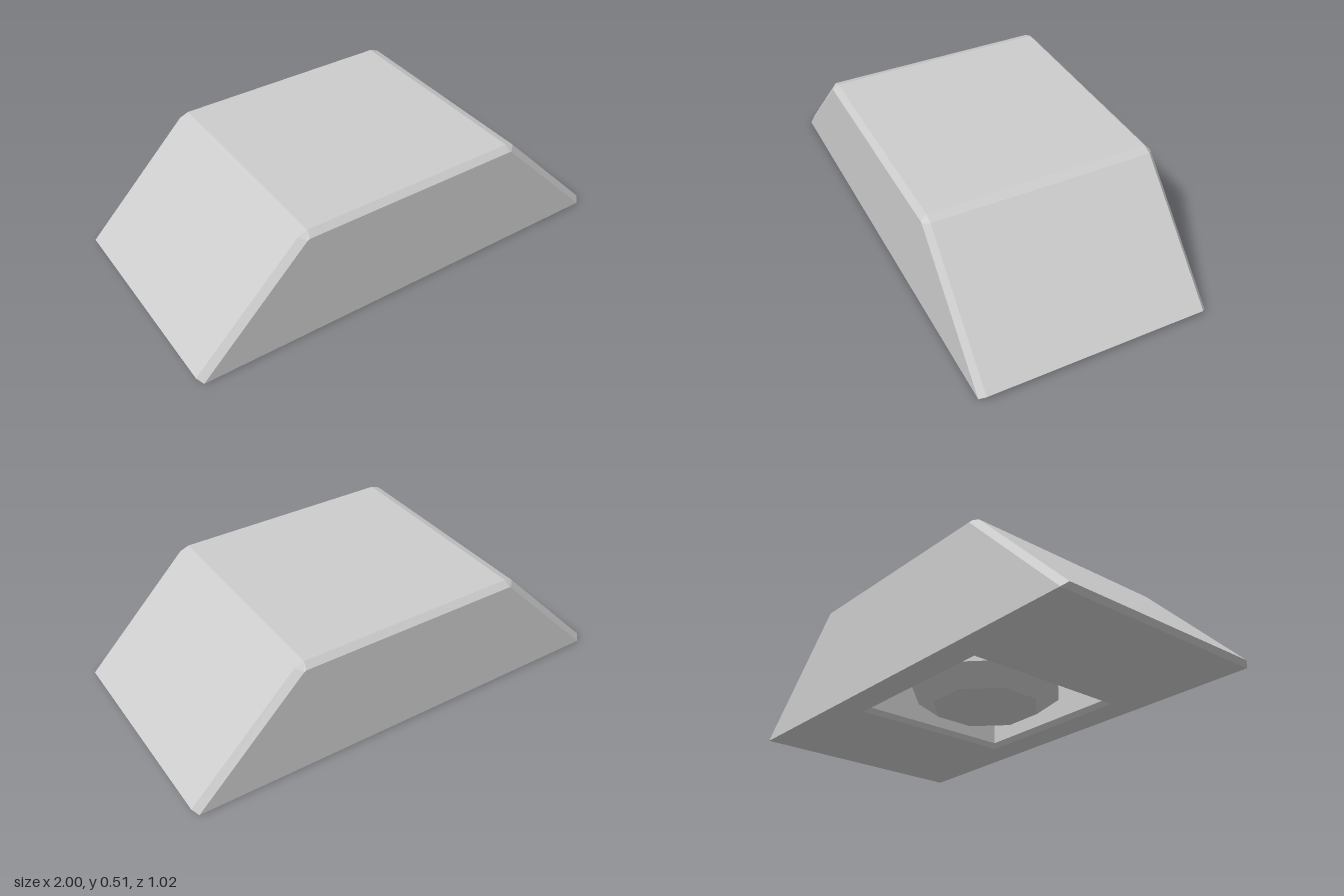
import * as THREE from 'three';

// Skin between matching outlines, listed from front to back, left open underneath
function loft(loops) {
  const pos = [];
  const tri = (a, b, c) => pos.push(...a, ...b, ...c);
  for (let k = 0; k < loops.length - 1; k++) {
    const A = loops[k], B = loops[k + 1];
    for (let i = 0; i < A.length - 1; i++) {
      tri(A[i], B[i], A[i + 1]);
      tri(A[i + 1], B[i], B[i + 1]);
    }
  }
  // End caps
  const F = loops[0], R = loops[loops.length - 1];
  for (let i = 1; i < F.length - 1; i++) {
    tri(F[0], F[i], F[i + 1]);
    tri(R[0], R[i + 1], R[i]);
  }
  const g = new THREE.BufferGeometry();
  g.setAttribute('position', new THREE.Float32BufferAttribute(pos, 3));
  g.computeVertexNormals();
  return g;
}

// Symmetric outline at depth z from its right half
function outline(half, z) {
  const right = half.map(([x, y]) => [x, y, z]);
  const left = half.map(([x, y]) => [-x, y, z]).reverse();
  return [...right, ...left];
}

export function createModel() {
  const group = new THREE.Group();
  const mat = new THREE.MeshStandardMaterial({
    color: 0xcccccc, flatShading: true, side: THREE.DoubleSide,
  });
  const add = (name, geometry) => {
    const mesh = new THREE.Mesh(geometry, mat);
    mesh.name = name;
    group.add(mesh);
    return mesh;
  };

  // Bevelled wedge-sided block
  const full = [[0.98, 0], [1, 0.02], [0.53, 0.495], [0.49, 0.51]];
  const face = [[0.98, 0], [0.98, 0], [0.505, 0.48], [0.495, 0.485]];
  add('body', loft([
    outline(face, 0.51), outline(full, 0.485),
    outline(full, -0.485), outline(face, -0.51),
  ]));

  // Underside with a square opening
  const rect = (w, d) => [[-w, -d], [w, -d], [w, d], [-w, d]].map((p) => new THREE.Vector2(...p));
  const base = new THREE.Shape(rect(0.98, 0.51));
  base.holes.push(new THREE.Path(rect(0.38, 0.38)));
  add('underside', new THREE.ShapeGeometry(base).rotateX(Math.PI / 2));

  // Chamfered square recess
  const depth = 0.25, s = Math.SQRT2;
  const recess = [[0.38 * s, 0], [0.36 * s, 0.02], [0.36 * s, depth], [0, depth]];
  add('recess', new THREE.LatheGeometry(
    recess.map((p) => new THREE.Vector2(...p)), 4, Math.PI / 4));

  // Octagonal stud with a tapered tip inside the recess
  const stud = [[0, 0], [0.235, 0], [0.34, 0.08], [0.34, depth]];
  add('stud', new THREE.LatheGeometry(
    stud.map((p) => new THREE.Vector2(...p)), 8, Math.PI / 8));

  return group;
}
